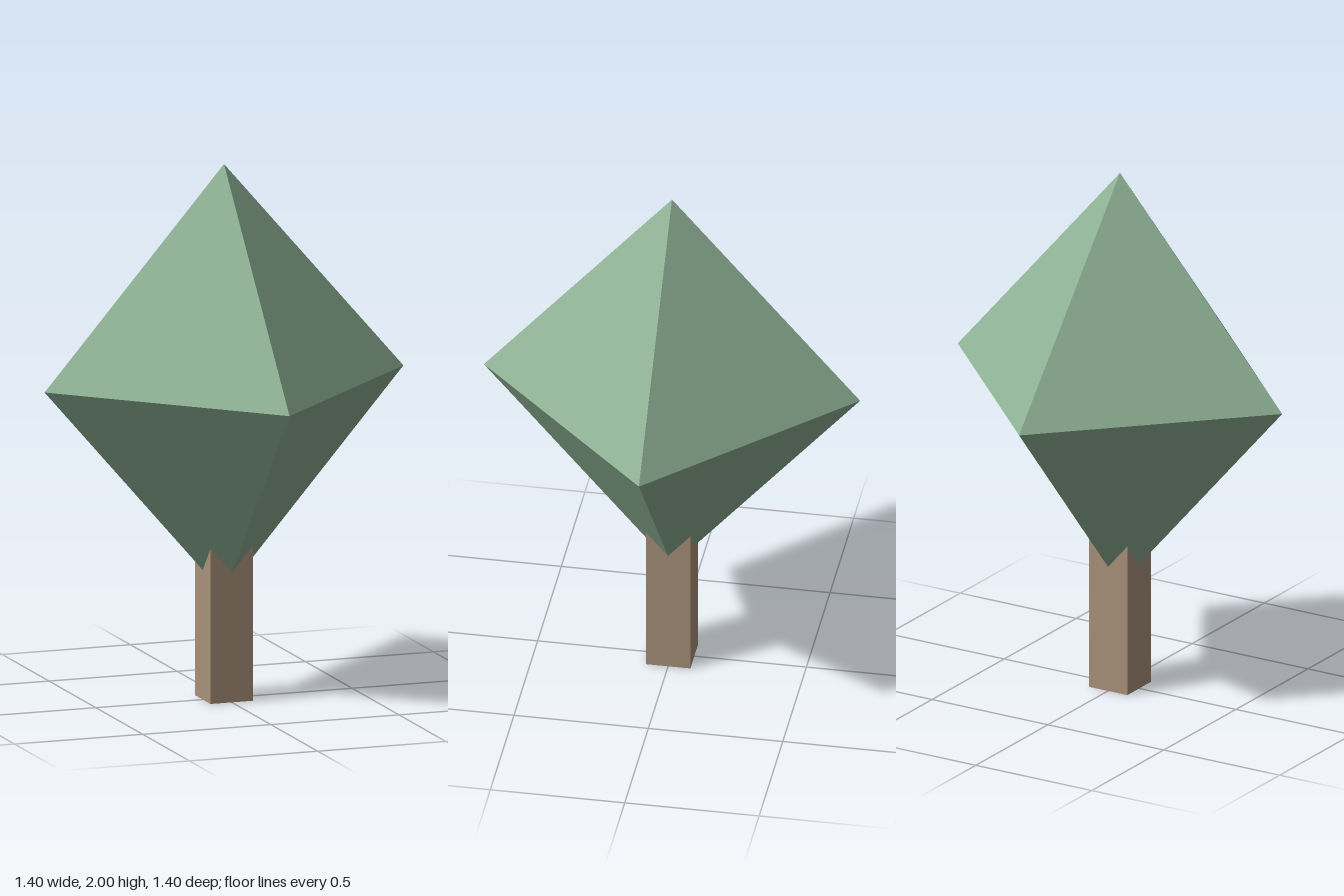
import * as THREE from 'three';

export function createModel() {
  const tree = new THREE.Group();
  tree.name = 'tree';

  const addPart = (name, geometry, color, y) => {
    const material = new THREE.MeshStandardMaterial({ color, flatShading: true });
    const mesh = new THREE.Mesh(geometry, material);
    mesh.name = name;
    mesh.position.y = y;
    tree.add(mesh);
  };

  // Square trunk, its top sunk into the crown
  const trunkHeight = 0.62;
  addPart('trunk', new THREE.BoxGeometry(0.166, trunkHeight, 0.166), 0xa9927a, trunkHeight / 2);

  // Eight-sided crown, stretched upright, corners on the x and z axes
  const halfWidth = 0.7, halfHeight = 0.805;
  const crown = new THREE.OctahedronGeometry(1).scale(halfWidth, halfHeight, halfWidth);
  addPart('crown', crown, 0x8fb296, 2 - halfHeight);

  return tree;
}
